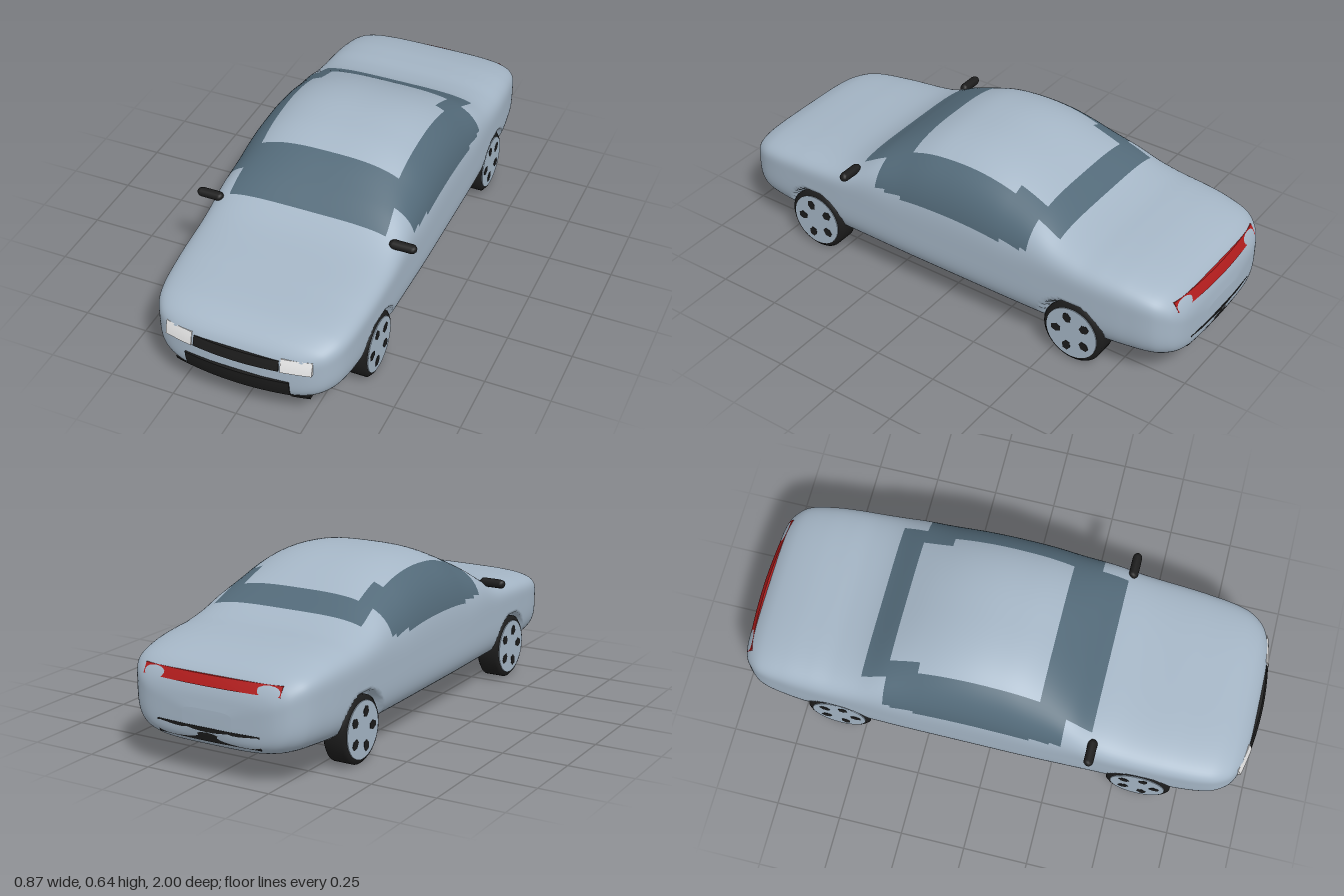
import * as THREE from 'three';

const mat = (name, color) => {
  const m = new THREE.MeshStandardMaterial({ color });
  m.name = name;
  return m;
};

// body stations: z, top, bottom, half width
const STATIONS = [
  [-0.995, 0.25, 0.17, 0.10], [-0.988, 0.30, 0.145, 0.22], [-0.975, 0.34, 0.125, 0.28],
  [-0.95, 0.375, 0.11, 0.32], [-0.9, 0.405, 0.10, 0.355], [-0.8, 0.432, 0.093, 0.375],
  [-0.7, 0.445, 0.088, 0.384], [-0.6, 0.455, 0.085, 0.388], [-0.5, 0.483, 0.085, 0.39],
  [-0.4, 0.54, 0.085, 0.392], [-0.3, 0.588, 0.085, 0.393], [-0.2, 0.62, 0.085, 0.393],
  [-0.1, 0.635, 0.085, 0.393], [0, 0.634, 0.085, 0.393], [0.1, 0.62, 0.085, 0.393],
  [0.2, 0.583, 0.085, 0.392], [0.3, 0.527, 0.085, 0.39], [0.4, 0.46, 0.085, 0.388],
  [0.5, 0.425, 0.085, 0.386], [0.7, 0.40, 0.088, 0.378], [0.85, 0.378, 0.095, 0.36],
  [0.92, 0.352, 0.105, 0.325], [0.955, 0.325, 0.12, 0.275], [0.975, 0.295, 0.14, 0.20],
  [0.985, 0.26, 0.16, 0.10],
];
const WHEEL_Z = 0.595, WHEEL_Y = 0.125;

// smooth interpolation of one station column
function sample(z, col) {
  const S = STATIONS, last = S.length - 1;
  let i = 0;
  while (i < last - 1 && z > S[i + 1][0]) i++;
  const slope = (k) => {
    const a = S[Math.max(k - 1, 0)], b = S[Math.min(k + 1, last)];
    return (b[col] - a[col]) / (b[0] - a[0]);
  };
  const h = S[i + 1][0] - S[i][0], t = (z - S[i][0]) / h, t2 = t * t, t3 = t2 * t;
  return (2 * t3 - 3 * t2 + 1) * S[i][col] + (t3 - 2 * t2 + t) * h * slope(i)
    + (3 * t2 - 2 * t3) * S[i + 1][col] + (t3 - t2) * h * slope(i + 1);
}

// paint zones: 0 paint, 1 glass, 2 underbody, 3 red panel, 4 pale panel
function zone(x, y, z) {
  const ax = Math.abs(x);
  if (y > 0.412) {
    if (z > 0.185 && z < 0.385 && (ax < 0.305 || z < 0.29)) return 1;
    if (z > -0.4 && z <= 0.185 && ax > (z < -0.28 ? 0.235 : 0.27)) return 1;
    if (z > -0.49 && z <= -0.4 && ax < 0.31) return 1;
  }
  if (z > 0.33) {
    if (x > 0.175 && y < 0.118) return 3;
    if (x > -0.3 && y < 0.112) return 4;
  } else if (z > -0.9 && y < (z < -0.28 ? 0.115 : 0.1)) return 2;
  return 0;
}

// body shell: superellipse sections with recessed wheel arches
function bodyGeometry() {
  const NZ = 200, NR = 128, pos = [], zones = [[], [], [], [], []];
  const z0 = STATIONS[0][0], z1 = STATIONS[STATIONS.length - 1][0];
  for (let i = 0; i <= NZ; i++) {
    const s = Math.sin((i / NZ - 0.5) * Math.PI);
    const z = z0 + (z1 - z0) * (s + 1) / 2;
    const top = sample(z, 1), bottom = sample(z, 2), w = sample(z, 3);
    const mid = Math.min(0.3, bottom + 0.65 * (top - bottom));
    const nTop = 4.2 - 1.3 * THREE.MathUtils.smoothstep(top, 0.45, 0.6);
    for (let j = 0; j < NR; j++) {
      const a = (j / NR) * Math.PI * 2, c = Math.cos(a), sn = Math.sin(a);
      const n = sn > 0 ? nTop : 4;
      const r = Math.pow(Math.abs(c) ** n + Math.abs(sn) ** n, -1 / n);
      const y = mid + r * sn * (sn > 0 ? top - mid : mid - bottom);
      const d = Math.hypot(Math.abs(z) - WHEEL_Z, y - WHEEL_Y);
      const limit = 0.352 + 0.05 * THREE.MathUtils.smoothstep(d, 0.128, 0.15);
      pos.push(THREE.MathUtils.clamp(w * c * r, -limit, limit), y, z);
    }
  }
  const at = (i, j) => i * NR + (j % NR);
  for (let i = 0; i < NZ; i++) for (let j = 0; j < NR; j++) {
    const q = [at(i, j), at(i, j + 1), at(i + 1, j + 1), at(i + 1, j)];
    const m = [0, 1, 2].map((k) => q.reduce((sum, v) => sum + pos[v * 3 + k] / 4, 0));
    zones[zone(...m)].push(q[0], q[1], q[2], q[0], q[2], q[3]);
  }
  // nose and tail caps
  const rear = pos.length / 3, front = rear + 1;
  pos.push(0, 0.215, z0 - 0.001, 0, 0.215, z1 + 0.001);
  for (let j = 0; j < NR; j++) {
    zones[0].push(rear, at(0, j + 1), at(0, j), front, at(NZ, j), at(NZ, j + 1));
  }
  const g = new THREE.BufferGeometry();
  g.setAttribute('position', new THREE.Float32BufferAttribute(pos, 3));
  g.setIndex(zones.flat());
  let start = 0;
  zones.forEach((list, k) => { g.addGroup(start, list.length, k); start += list.length; });
  g.computeVertexNormals();
  return g;
}

// plate curved to follow the nose or tail
function plate(x0, x1, y0, y1, base, kx, ky, rear = false) {
  const g = new THREE.BoxGeometry(x1 - x0, y1 - y0, 0.04, 16, 4, 1);
  g.translate((x0 + x1) / 2, (y0 + y1) / 2, -0.02);
  const p = g.attributes.position;
  for (let i = 0; i < p.count; i++) {
    const x = p.getX(i), y = p.getY(i);
    p.setZ(i, p.getZ(i) + base - kx * x * x - ky * (y - 0.22) ** 2);
  }
  if (rear) g.rotateY(Math.PI);
  g.computeVertexNormals();
  return g;
}

export function createModel() {
  const car = new THREE.Group();
  car.name = 'car';
  const paint = mat('silver blue paint', 0xa5b6c6);
  const glass = mat('tinted glass', 0x536a79);
  const black = mat('black trim', 0x1c1c1c);
  const red = mat('red', 0xb01c1c);
  const pale = mat('pale grey', 0xc4c4c4);
  const white = mat('headlight white', 0xe6e6e6);
  const add = (name, geometry, material, parent = car) => {
    const m = new THREE.Mesh(geometry, material);
    m.name = name;
    parent.add(m);
    return m;
  };

  add('body', bodyGeometry(), [paint, glass, black, red, pale]);

  // nose and tail details
  add('grille', plate(-0.163, 0.163, 0.253, 0.293, 1.0, 0.45, 2.5), black);
  add('lowerIntake', plate(-0.2, 0.2, 0.135, 0.207, 1.0, 0.45, 2.5), black);
  add('tailLight', plate(-0.28, 0.28, 0.33, 0.365, 1.014, 0.25, 2.2, true), red);
  add('rearBumperTrim', plate(-0.21, 0.21, 0.135, 0.187, 1.0, 0.2, 2, true), black);

  // tyre profile, spun about the axle
  const tyre = new THREE.LatheGeometry([
    [0, -0.045], [0.113, -0.045], [0.125, -0.035], [0.125, 0.035], [0.113, 0.045], [0.1, 0.045],
  ].map(([r, y]) => new THREE.Vector2(r, y)), 40);
  const hub = new THREE.CylinderGeometry(0.106, 0.108, 0.02, 40);
  const hole = new THREE.CylinderGeometry(0.02, 0.02, 0.004, 6);

  for (const s of [1, -1]) {
    const side = s > 0 ? 'left' : 'right';
    const [h0, h1] = s > 0 ? [0.17, 0.28] : [-0.28, -0.17];
    add(side + 'Headlight', plate(h0, h1, 0.253, 0.303, 1.003, 0.45, 2.5), white);
    const [f0, f1] = s > 0 ? [0.195, 0.26] : [-0.26, -0.195];
    add(side + 'FogVent', plate(f0, f1, 0.112, 0.13, 0.993, 0.45, 2.5), black);

    const mirror = add(side + 'Mirror', new THREE.CapsuleGeometry(0.018, 0.07, 3, 8), black);
    mirror.rotation.z = Math.PI / 2;
    mirror.position.set(s * 0.384, 0.433, 0.4);

    for (const z of [WHEEL_Z, -WHEEL_Z]) {
      const wheel = new THREE.Group();
      wheel.name = side + (z > 0 ? 'FrontWheel' : 'RearWheel');
      add('tyre', tyre, black, wheel);
      add('hub', hub, paint, wheel).position.y = 0.038;
      for (let k = 0; k < 5; k++) {
        const a = (k / 5) * Math.PI * 2 + 0.3;
        const h = add('hubHole', hole, black, wheel);
        h.position.set(Math.cos(a) * 0.066, 0.0475, Math.sin(a) * 0.066);
        h.rotation.y = -a;
        h.scale.set(1.1, 1, 0.9);
      }
      wheel.rotation.z = -s * Math.PI / 2;
      wheel.position.set(s * 0.33, WHEEL_Y, z);
      car.add(wheel);
    }
  }
  return car;
}
